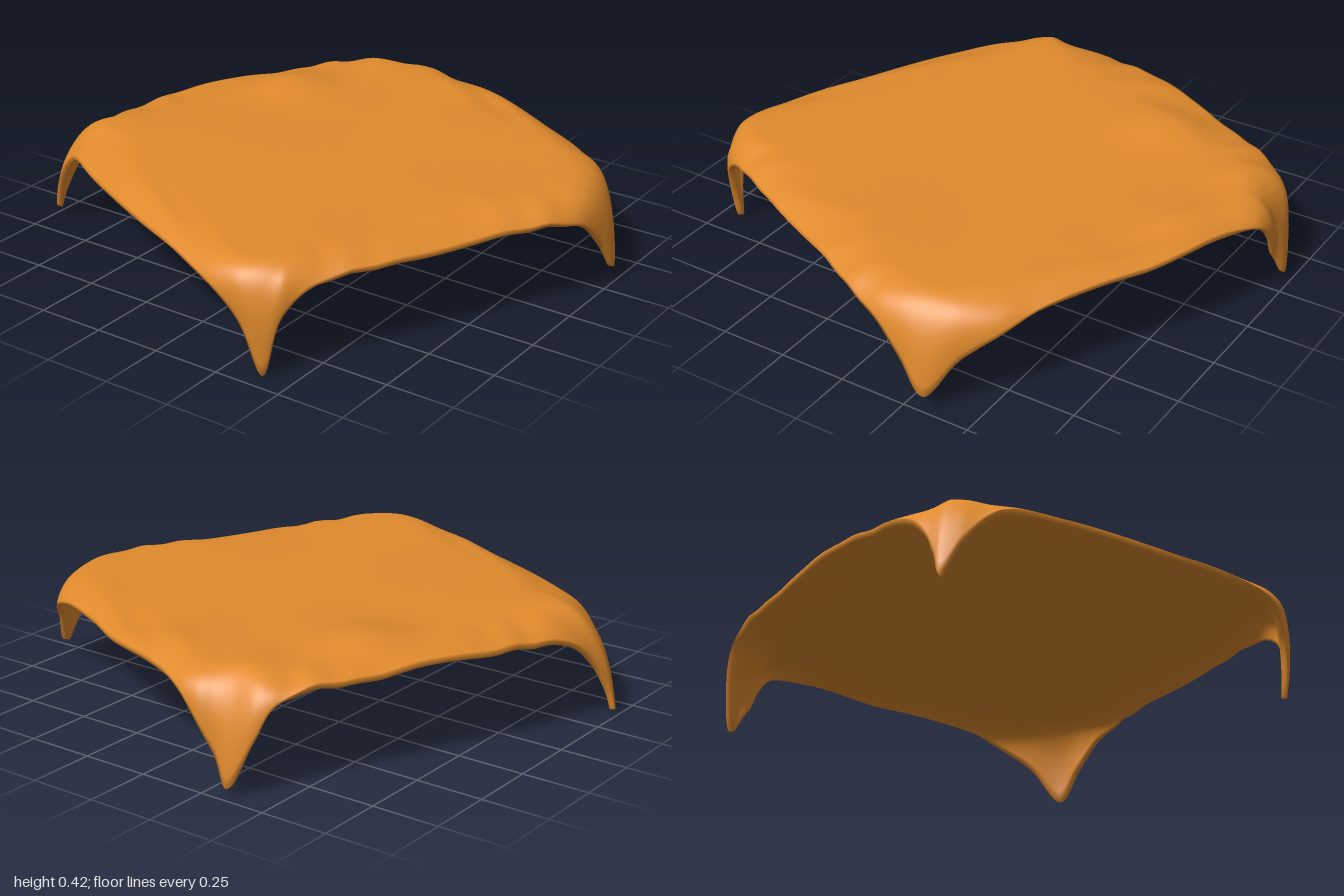
import * as THREE from 'three';

const TOP = 0.384, THICK = 0.02, FOLD_WIDTH = 0.16;
const SAMPLES = 8, FLAT = 14, BEND = 16;

// Hem of the cloth: x, y, z and how far the fold above it bulges (1 = straight above)
const HEM = [
  [-0.37, 0.02, -1.0, 0.95], [-0.335, 0.11, -0.985, 0.95], [-0.285, 0.21, -0.96, 0.94], [-0.2, 0.3, -0.93, 0.92],
  [0, 0.345, -0.865, 0.9], [0.2, 0.362, -0.805, 0.9], [0.4, 0.365, -0.705, 0.9], [0.6, 0.352, -0.615, 0.91],
  [0.78, 0.35, -0.52, 0.94], [0.885, 0.3, -0.46, 0.98], [0.935, 0.19, -0.42, 1.0],
  [0.977, 0.025, -0.335, 0.99], [0.962, 0.12, -0.275, 1.01], [0.972, 0.22, -0.21, 1.01], [0.965, 0.3, -0.14, 0.98],
  [0.905, 0.345, 0, 0.93], [0.845, 0.35, 0.2, 0.92], [0.795, 0.35, 0.32, 0.92], [0.7, 0.348, 0.49, 0.93],
  [0.595, 0.33, 0.7, 0.95], [0.525, 0.275, 0.83, 0.98], [0.42, 0.185, 0.925, 1.0],
  [0.325, 0.055, 0.997, 0.99], [0.23, 0.17, 0.99, 1.0], [0.13, 0.27, 0.975, 0.98], [0, 0.318, 0.932, 0.95],
  [-0.2, 0.33, 0.828, 0.91], [-0.5, 0.328, 0.685, 0.91], [-0.8, 0.312, 0.525, 0.95], [-0.91, 0.22, 0.455, 1.02],
  [-0.935, -0.003, 0.39, 1.07], [-0.965, 0.18, 0.32, 1.05], [-0.98, 0.295, 0.215, 0.99],
  [-0.9, 0.33, 0, 0.93], [-0.615, 0.33, -0.6, 0.9], [-0.485, 0.305, -0.81, 0.92], [-0.42, 0.16, -0.94, 0.95],
];

// Soft swells and dents in the top: x, z, height, radius
const SWELLS = [
  [0.4, -0.46, 0.034, 0.17], [0.78, -0.3, 0.015, 0.1], [0.57, -0.56, -0.015, 0.08],
  [0.78, 0.06, 0.014, 0.11], [-0.28, -0.74, 0.012, 0.15], [-0.15, -0.55, 0.01, 0.3],
  [-0.1, 0.66, 0.008, 0.14], [-0.42, 0.58, -0.008, 0.12], [0.7, 0.3, -0.01, 0.1],
];

function swell(x, z) {
  return SWELLS.reduce((sum, [sx, sz, h, r]) =>
    sum + h * Math.exp(-((x - sx) ** 2 + (z - sz) ** 2) / (r * r)), 0);
}

// Closed smooth curve at table height, scaled out from the centre for each hem point
function levelCurve(scale) {
  return new THREE.CatmullRomCurve3(
    HEM.map(([x, , z, k]) => new THREE.Vector3(x * scale(k), TOP, z * scale(k))), true);
}

// Rings of points from the centre of the top, over the fold and down to the hem
function outerRings() {
  const hem = new THREE.CatmullRomCurve3(HEM.map(([x, y, z]) => new THREE.Vector3(x, y, z)), true);
  const fold = levelCurve((k) => k);
  const shoulder = levelCurve((k) => k - FOLD_WIDTH);
  const n = HEM.length * SAMPLES;
  const rings = Array.from({ length: FLAT + BEND + 1 }, () => []);
  for (let j = 0; j < n; j++) {
    const s = shoulder.getPoint(j / n);
    const bend = new THREE.QuadraticBezierCurve3(s, fold.getPoint(j / n), hem.getPoint(j / n));
    rings.forEach((ring, i) => {
      const t = Math.max(0, (i - FLAT) / BEND);
      const p = i <= FLAT
        ? new THREE.Vector3(s.x * i / FLAT, TOP, s.z * i / FLAT)
        : bend.getPoint(t);
      // small ripples appear only in the folded band
      const ripple = 0.004 * Math.sin(Math.PI * t * 0.7) * Math.sin(17 * p.x + 23 * p.z + 2 * Math.sin(9 * p.x));
      p.y += swell(p.x, p.z) * (1 - 0.7 * t) + ripple;
      ring.push(p);
    });
  }
  return rings;
}

// Smooth skin through a list of closed rings
function skin(rings) {
  const n = rings[0].length, index = [];
  for (let i = 0; i < rings.length - 1; i++) {
    for (let j = 0; j < n; j++) {
      const a = i * n + j, b = i * n + (j + 1) % n;
      index.push(a, b, a + n, b, b + n, a + n);
    }
  }
  const geometry = new THREE.BufferGeometry().setFromPoints(rings.flat());
  geometry.setIndex(index);
  geometry.computeVertexNormals();
  return geometry;
}

export function createModel() {
  const group = new THREE.Group();
  group.name = 'drapedCloth';

  // Underside: the top surface pushed inward, joined to it round the hem
  const outer = outerRings();
  const normals = skin(outer).attributes.normal;
  const n = outer[0].length;
  const inner = outer.map((ring, i) => ring.map((p, j) =>
    p.clone().addScaledVector(new THREE.Vector3().fromBufferAttribute(normals, i * n + j), -THICK)));

  const cloth = new THREE.Mesh(
    skin([...outer, ...inner.reverse()]),
    new THREE.MeshStandardMaterial({ color: 0xe08a2c, side: THREE.DoubleSide }),
  );
  cloth.name = 'tablecloth';
  group.add(cloth);
  return group;
}
